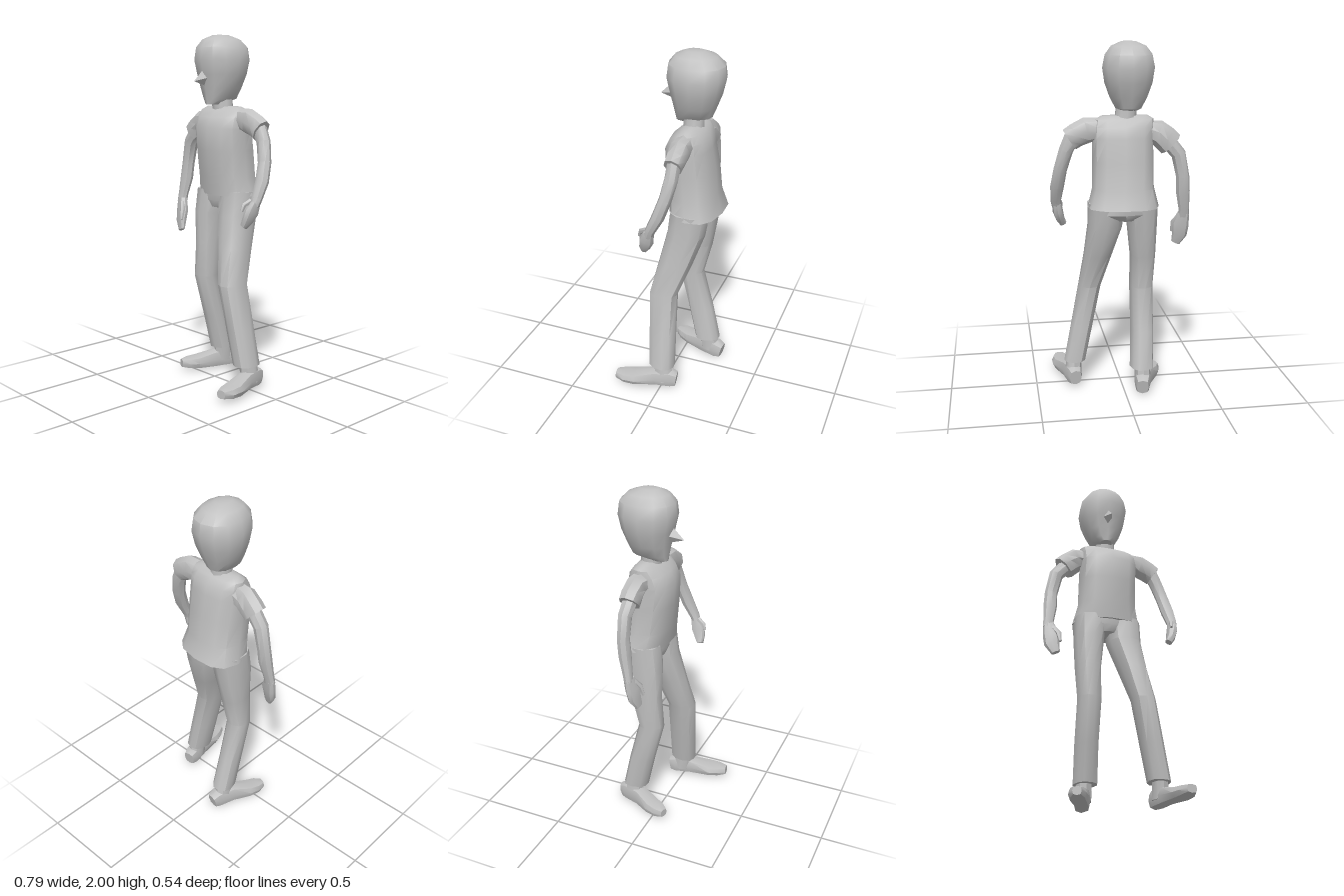
import * as THREE from 'three';
import { toCreasedNormals } from 'three/addons/utils/BufferGeometryUtils.js';

// Closed skin over rings [x, y, z, halfWidth, halfDepth, twist].
// level: rings stay horizontal; otherwise they stand square to the path.
// box: below 1 makes the cross-section squarer.
function loft(rings, { n = 12, box = 1, level = false } = {}) {
  const pos = [], idx = [];
  const centre = rings.map((r) => new THREE.Vector3(r[0], r[1], r[2]));
  const soft = (v) => Math.sign(v) * Math.pow(Math.abs(v), box);
  const last = rings.length - 1;
  rings.forEach(([, , , rx, rz, twist = 0], i) => {
    const t = centre[Math.min(i + 1, last)].clone().sub(centre[Math.max(i - 1, 0)]).normalize();
    if (level) t.set(0, Math.sign(t.y), 0);
    const Z = new THREE.Vector3(1, 0, 0).cross(t).normalize();
    const X = t.clone().cross(Z);
    X.applyAxisAngle(t, twist);
    Z.applyAxisAngle(t, twist);
    for (let j = 0; j < n; j++) {
      const a = (j / n) * Math.PI * 2;
      const p = centre[i].clone()
        .addScaledVector(X, rx * soft(Math.sin(a)))
        .addScaledVector(Z, rz * soft(Math.cos(a)));
      pos.push(p.x, p.y, p.z);
    }
  });
  const start = pos.length / 3;
  for (const c of [centre[0], centre[last]]) pos.push(c.x, c.y, c.z);
  for (let j = 0; j < n; j++) {
    const k = (j + 1) % n;
    for (let i = 0; i < last; i++) {
      const a = i * n + j, b = i * n + k;
      idx.push(a, b, b + n, a, b + n, a + n);
    }
    idx.push(start, k, j, start + 1, last * n + j, last * n + k);
  }
  const g = new THREE.BufferGeometry();
  g.setAttribute('position', new THREE.Float32BufferAttribute(pos, 3));
  g.setIndex(idx);
  return toCreasedNormals(g, 0.75);
}

export function createModel() {
  const model = new THREE.Group();
  model.name = 'standingFigure';
  const grey = new THREE.MeshStandardMaterial({ color: 0xc0c0c0 });
  grey.name = 'plainGrey';
  const add = (name, rings, options) => {
    const mesh = new THREE.Mesh(loft(rings, options), grey);
    mesh.name = name;
    model.add(mesh);
  };

  // Head, nose and neck
  add('head', [
    [-0.035, 1.61, -0.02, 0.035, 0.045],
    [-0.035, 1.64, -0.075, 0.072, 0.105],
    [-0.035, 1.70, -0.083, 0.105, 0.122],
    [-0.035, 1.78, -0.09, 0.134, 0.146],
    [-0.035, 1.86, -0.09, 0.146, 0.165],
    [-0.035, 1.93, -0.09, 0.132, 0.157],
    [-0.035, 1.975, -0.085, 0.098, 0.115],
    [-0.035, 2.0, -0.08, 0.04, 0.05],
  ], { level: true, box: 0.92 });
  add('nose', [
    [-0.04, 1.765, 0.02, 0.035, 0.06],
    [-0.04, 1.742, 0.115, 0.002, 0.003],
  ], { n: 4 });
  add('neck', [
    [-0.015, 1.55, -0.085, 0.066, 0.06],
    [-0.02, 1.6, -0.08, 0.06, 0.06],
    [-0.025, 1.66, -0.08, 0.058, 0.06],
  ], { level: true, n: 10 });

  // Shirt
  add('shirtBody', [
    [0.0, 1.095, -0.125, 0.2, 0.143, -0.09],
    [-0.003, 1.2, -0.1, 0.174, 0.134, -0.06],
    [-0.005, 1.35, -0.085, 0.172, 0.135, -0.03],
    [-0.005, 1.48, -0.07, 0.173, 0.125],
    [-0.007, 1.54, -0.078, 0.172, 0.105],
    [-0.01, 1.58, -0.085, 0.166, 0.066],
    [-0.012, 1.6, -0.085, 0.13, 0.035],
  ], { level: true, box: 0.75 });
  add('rightSleeve', [
    [-0.13, 1.51, -0.088, 0.06, 0.06],
    [-0.2, 1.5, -0.092, 0.072, 0.06],
    [-0.245, 1.465, -0.095, 0.073, 0.06],
    [-0.275, 1.435, -0.095, 0.073, 0.058],
  ], { n: 8 });
  add('leftSleeve', [
    [0.12, 1.53, -0.08, 0.06, 0.055],
    [0.2, 1.52, -0.08, 0.072, 0.058],
    [0.255, 1.495, -0.08, 0.068, 0.056],
    [0.293, 1.47, -0.078, 0.066, 0.052],
  ], { n: 8 });

  // Arms, hands and thumbs
  add('rightArm', [
    [-0.25, 1.46, -0.095, 0.045, 0.042],
    [-0.318, 1.38, -0.1, 0.042, 0.04],
    [-0.345, 1.25, -0.1, 0.038, 0.036],
    [-0.35, 1.16, -0.09, 0.04, 0.036],
    [-0.361, 1.06, -0.072, 0.031, 0.028],
    [-0.363, 1.01, -0.062, 0.033, 0.025],
  ], { n: 8 });
  add('rightHand', [
    [-0.362, 1.03, -0.064, 0.033, 0.024, 0.3],
    [-0.346, 0.96, -0.05, 0.05, 0.027, 0.3],
    [-0.345, 0.9, -0.04, 0.043, 0.024, 0.3],
    [-0.325, 0.845, -0.025, 0.026, 0.014, 0.3],
  ], { n: 8, box: 0.8 });
  add('rightThumb', [
    [-0.34, 1.01, -0.045, 0.016, 0.014],
    [-0.312, 0.965, -0.02, 0.017, 0.014],
    [-0.305, 0.91, -0.005, 0.009, 0.008],
  ], { n: 6 });
  add('leftArm', [
    [0.27, 1.5, -0.08, 0.045, 0.04],
    [0.313, 1.41, -0.078, 0.04, 0.038],
    [0.344, 1.3, -0.055, 0.038, 0.036],
    [0.36, 1.2, -0.02, 0.039, 0.036],
    [0.366, 1.11, 0.025, 0.031, 0.029],
    [0.36, 1.07, 0.04, 0.027, 0.028],
  ], { n: 8 });
  add('leftHand', [
    [0.361, 1.09, 0.035, 0.027, 0.03],
    [0.353, 1.04, 0.053, 0.03, 0.043],
    [0.338, 0.99, 0.07, 0.025, 0.033],
    [0.32, 0.957, 0.08, 0.02, 0.018],
  ], { n: 8, box: 0.8 });
  add('leftThumb', [
    [0.35, 1.1, 0.055, 0.014, 0.016],
    [0.335, 1.08, 0.092, 0.014, 0.014],
    [0.33, 1.045, 0.105, 0.008, 0.009],
  ], { n: 6 });

  // Trousers
  add('trouserSeat', [
    [-0.01, 1.02, -0.1, 0.06, 0.09],
    [0.0, 1.06, -0.11, 0.17, 0.115],
    [0.0, 1.13, -0.11, 0.17, 0.115],
  ], { level: true, box: 0.8 });
  add('rightTrouserLeg', [
    [-0.103, 0.14, -0.157, 0.064, 0.076, 0.25],
    [-0.113, 0.35, -0.108, 0.063, 0.076, 0.25],
    [-0.118, 0.6, -0.043, 0.065, 0.075, 0.2],
    [-0.12, 0.8, -0.075, 0.07, 0.093, 0.1],
    [-0.112, 0.98, -0.09, 0.084, 0.112],
    [-0.102, 1.12, -0.11, 0.095, 0.115],
  ], { level: true, n: 10, box: 0.85 });
  add('leftTrouserLeg', [
    [0.27, 0.145, 0.003, 0.064, 0.077, -0.15],
    [0.228, 0.35, 0.013, 0.066, 0.08, -0.15],
    [0.177, 0.6, 0.025, 0.067, 0.085, -0.1],
    [0.135, 0.8, -0.035, 0.08, 0.1],
    [0.1, 0.98, -0.085, 0.098, 0.112],
    [0.095, 1.12, -0.105, 0.103, 0.115],
  ], { level: true, n: 10, box: 0.85 });

  // Ankles and shoes
  add('rightAnkle', [
    [-0.11, 0.05, -0.175, 0.05, 0.06],
    [-0.105, 0.18, -0.16, 0.043, 0.055],
  ], { level: true, n: 8 });
  add('leftAnkle', [
    [0.285, 0.05, -0.015, 0.05, 0.06],
    [0.275, 0.18, 0.0, 0.043, 0.055],
  ], { level: true, n: 8 });
  add('rightShoe', [
    [-0.095, 0.05, -0.255, 0.035, 0.045],
    [-0.1, 0.058, -0.22, 0.046, 0.057],
    [-0.13, 0.058, -0.12, 0.047, 0.055],
    [-0.178, 0.045, -0.02, 0.055, 0.039],
    [-0.2, 0.045, 0.035, 0.048, 0.034],
    [-0.215, 0.045, 0.075, 0.025, 0.024],
  ], { n: 8, box: 0.7 });
  add('leftShoe', [
    [0.275, 0.06, -0.09, 0.035, 0.045],
    [0.28, 0.065, -0.055, 0.046, 0.055],
    [0.3, 0.065, 0.04, 0.047, 0.05],
    [0.33, 0.052, 0.16, 0.062, 0.036],
    [0.34, 0.052, 0.22, 0.054, 0.032],
    [0.345, 0.055, 0.27, 0.03, 0.024],
  ], { n: 8, box: 0.7 });

  return model;
}
